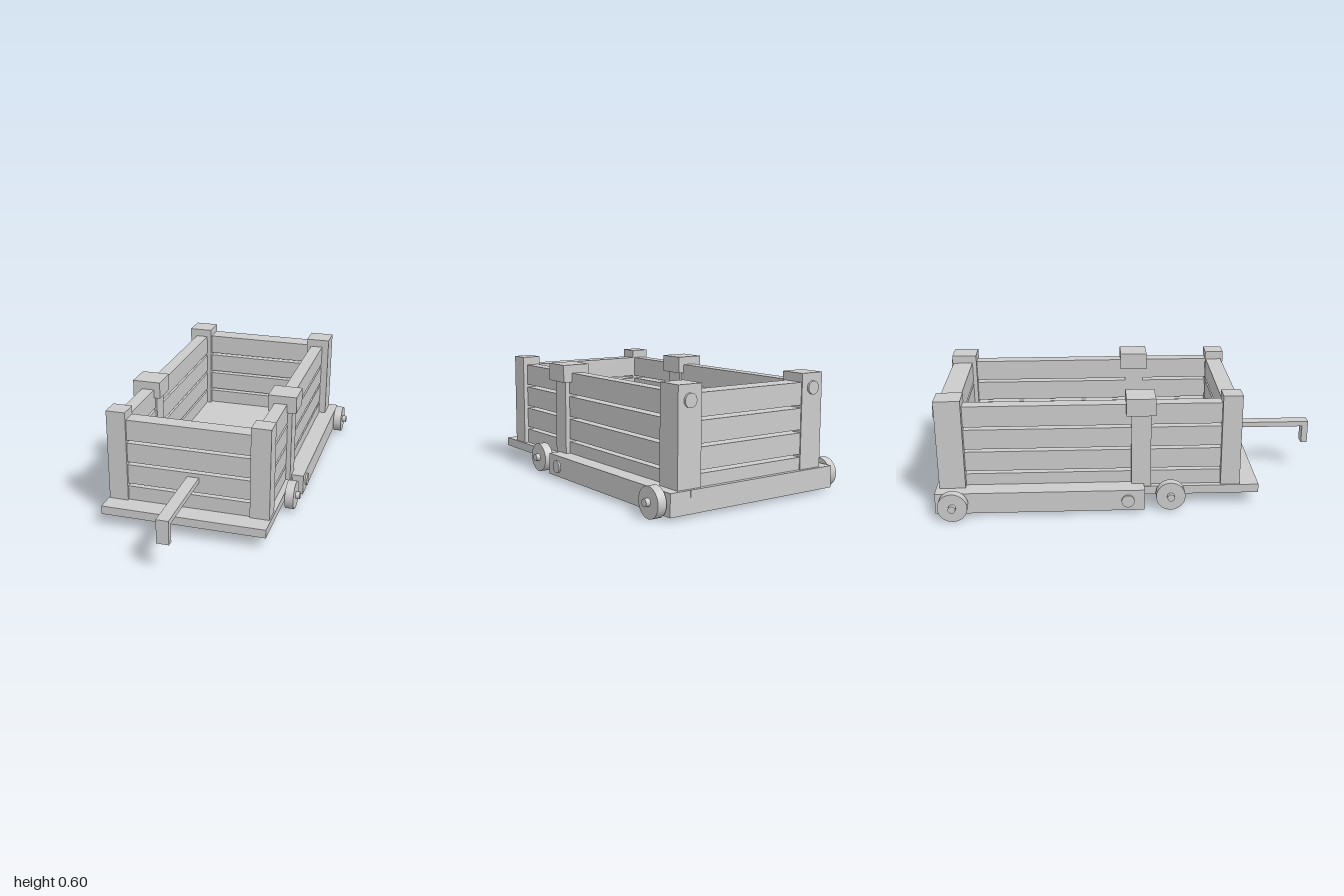
import * as THREE from 'three';

const material = new THREE.MeshStandardMaterial({ color: 0xcccccc });
const CX = 0.01; // the wooden body sits slightly to the left of centre

export function createModel() {
  const model = new THREE.Group();
  model.name = 'cart';

  // box given by its extents along each axis
  const box = (name, x0, x1, y0, y1, z0, z1) => {
    const mesh = new THREE.Mesh(new THREE.BoxGeometry(x1 - x0, y1 - y0, z1 - z0), material);
    mesh.position.set((x0 + x1) / 2, (y0 + y1) / 2, (z0 + z1) / 2);
    mesh.name = name;
    model.add(mesh);
  };

  // box placed on one side by its inner and outer distance from a centre line
  const sideBox = (name, side, centre, inner, outer, ...rest) => {
    const a = centre + side * inner, b = centre + side * outer;
    box(name, Math.min(a, b), Math.max(a, b), ...rest);
  };

  // cylinder lying along x or z
  const disc = (name, axis, radius, length, x, y, z) => {
    const geometry = new THREE.CylinderGeometry(radius, radius, length, 32);
    if (axis === 'x') geometry.rotateZ(Math.PI / 2);
    else geometry.rotateX(Math.PI / 2);
    const mesh = new THREE.Mesh(geometry, material);
    mesh.position.set(x, y, z);
    mesh.name = name;
    model.add(mesh);
  };

  // floor and the U-shaped under-frame
  box('floor', -0.42, 0.44, 0.07, 0.115, -0.95, 0.655);
  box('backBeam', -0.385, 0.387, 0.02, 0.13, -1, -0.89);

  // four planks per wall, with narrow open gaps between
  const planks = [[0.115, 0.192], [0.207, 0.312], [0.327, 0.432], [0.447, 0.557]];
  for (const [y0, y1] of planks) {
    box('frontPlank', -0.32, 0.34, y0, y1, 0.46, 0.545);
    box('backPlank', -0.31, 0.33, y0, y1, -0.978, -0.872);
    for (const s of [-1, 1]) sideBox('sidePlank', s, CX, 0.332, 0.4, y0, y1, -0.86, 0.47);
  }

  for (const s of [-1, 1]) {
    sideBox('sideRail', s, 0.0025, 0.385, 0.4975, 0.02, 0.13, -1, 0.06);
    disc('railBolt', 'x', 0.033, 0.04, 0.0025 + s * 0.487, 0.072, -0.025);

    // corner and middle posts
    sideBox('frontPost', s, CX, 0.322, 0.423, 0.11, 0.6, 0.457, 0.557);
    sideBox('middlePost', s, CX, 0.324, 0.424, 0.11, 0.55, -0.004, 0.096);
    sideBox('middlePostCap', s, CX, 0.298, 0.449, 0.51, 0.6, -0.03, 0.118);
    sideBox('backPost', s, CX, 0.307, 0.438, 0.11, 0.6, -0.983, -0.85);
    disc('postBolt', 'z', 0.033, 0.03, CX + s * 0.374, 0.528, -0.979);

    // wheels on short axles
    disc('frontWheel', 'x', 0.075, 0.046, 0.006 + s * 0.461, 0.083, 0.195);
    disc('frontAxle', 'x', 0.019, 0.12, 0.006 + s * 0.446, 0.084, 0.195);
    disc('backWheel', 'x', 0.075, 0.046, s * 0.529, 0.078, -0.907);
    disc('backAxle', 'x', 0.019, 0.1, s * 0.525, 0.08, -0.907);
  }

  // bent pull handle
  box('handleBar', 0.004, 0.066, 0.262, 0.29, 0.53, 1);
  box('handleGrip', 0.004, 0.066, 0.165, 0.262, 0.967, 1);

  return model;
}
